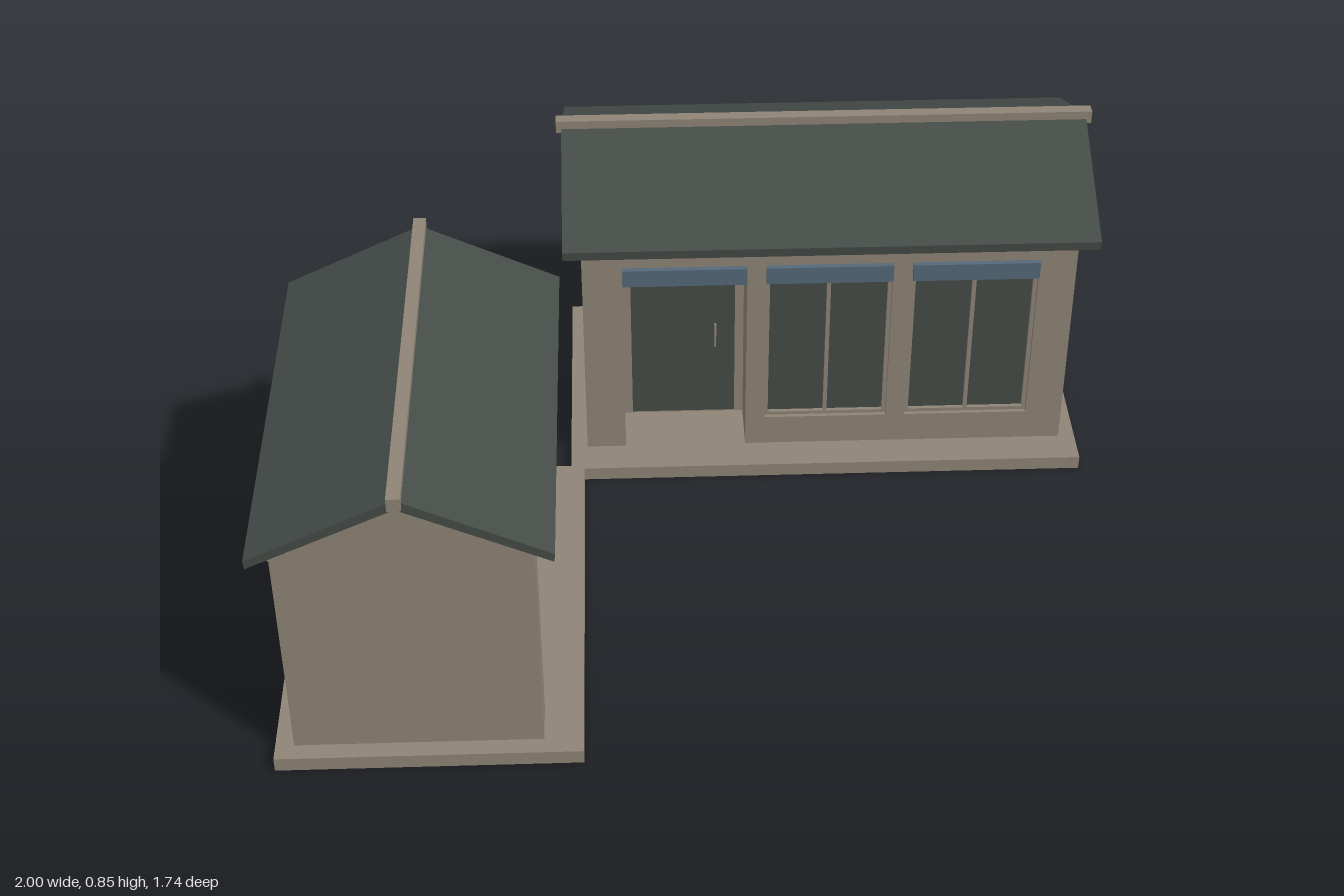
import * as THREE from 'three';

const material = (name, color, side = THREE.FrontSide) => {
  const m = new THREE.MeshStandardMaterial({ color, side });
  m.name = name;
  return m;
};

export function createModel() {
  const stone = material('warm grey stone', 0x8f8577);
  const slate = material('dark slate', 0x454c48);
  const blue = material('blue awning', 0x54697a);

  const add = (parent, name, geometry, mat) => {
    const mesh = new THREE.Mesh(geometry, mat);
    mesh.name = name;
    parent.add(mesh);
    return mesh;
  };
  // Box given by its low and high corners
  const box = (parent, name, mat, x0, x1, y0, y1, z0, z1) => {
    const mesh = add(parent, name, new THREE.BoxGeometry(x1 - x0, y1 - y0, z1 - z0), mat);
    mesh.position.set((x0 + x1) / 2, (y0 + y1) / 2, (z0 + z1) / 2);
    return mesh;
  };
  const polygon = (points) => new THREE.Shape(points.map(([x, y]) => new THREE.Vector2(x, y)));
  const rect = (x0, x1, y0, y1) => polygon([[x0, y0], [x1, y0], [x1, y1], [x0, y1]]);
  // Extrude a (z, y) cross-section along x, centred
  const alongX = (parent, name, mat, points, half) => {
    const g = new THREE.ExtrudeGeometry(polygon(points), { depth: 2 * half, bevelEnabled: false });
    g.translate(0, 0, -half).rotateY(-Math.PI / 2);
    return add(parent, name, g, mat);
  };

  const floor = 0.036, lintel = 0.597, recess = 0.14, beamLow = 0.55;

  // One gabled house, ridge along x, open front at +z
  function house(p) {
    const g = new THREE.Group();
    g.name = p.name;
    const { halfLength: hl, halfDepth: hd, wallTop, porch, door, windows } = p;

    box(g, 'foundationSlab', stone, -hl - 0.042, hl + 0.042, 0, floor, -hd - 0.043, hd + 0.09);
    box(g, 'rearWalls', stone, -hl, hl, floor, wallTop, -hd, hd - recess);

    // Front wall layer with porch notch and window openings
    const front = polygon([
      [-hl, floor], [porch[0], floor], [porch[0], lintel], [porch[1], lintel],
      [porch[1], floor], [hl, floor], [hl, wallTop], [-hl, wallTop],
    ]);
    windows.forEach(([a, b]) => front.holes.push(rect(a, b, 0.12, lintel - 0.005)));
    const wall = add(g, 'frontWall', new THREE.ExtrudeGeometry(front, { depth: recess, bevelEnabled: false }), stone);
    wall.position.z = hd - recess;

    // Door with handle at the back of the porch
    const doorZ = hd - recess;
    box(g, 'door', slate, door[0], door[1], 0.047, 0.58, doorZ, doorZ + 0.01);
    box(g, 'doorHandle', stone, door[1] - 0.053, door[1] - 0.048, 0.26, 0.33, doorZ + 0.01, doorZ + 0.02);

    // Windows: frame with two panes set into the wall
    windows.forEach(([a, b]) => {
      const mid = (a + b) / 2, t = 0.01, top = lintel - 0.005;
      const frame = rect(a, b, 0.12, top);
      frame.holes.push(rect(a + t, mid - t / 2, 0.12 + t, top - t), rect(mid + t / 2, b - t, 0.12 + t, top - t));
      const f = add(g, 'windowFrame', new THREE.ExtrudeGeometry(frame, { depth: 0.015, bevelEnabled: false }), stone);
      f.position.z = hd - 0.025;
      box(g, 'windowGlass', slate, a, b, 0.12, top, hd - 0.03, hd - 0.02);
    });

    // Blue boards above each opening
    [porch, ...windows].forEach(([a, b]) => box(g, 'awningBoard', blue, a, b, beamLow, lintel, hd - 0.004, hd + 0.014));

    // Gable and eave plates
    alongX(g, 'gable', stone, [[-hd, wallTop], [hd, wallTop], [0, p.gableTop]], hl);
    box(g, 'frontEavePlate', stone, -hl - 0.018, hl + 0.018, wallTop - 0.004, wallTop + 0.022, hd - 0.04, hd + 0.03);
    box(g, 'rearEavePlate', stone, -hl - 0.018, hl + 0.018, wallTop, wallTop + 0.022, -hd, -hd + 0.045);

    // Roof of two sloping slabs in one section
    const { roofHalf: rh, eave, ridge, thick } = p;
    alongX(g, 'roof', slate, [
      [-rh, eave], [0, ridge - thick], [rh, eave], [rh + 0.002, eave + thick * 0.85],
      [0, ridge], [-rh - 0.002, eave + thick * 0.85],
    ], hl + 0.044);
    box(g, 'ridgeCap', stone, -hl - 0.057, hl + 0.057, ridge - 0.018, p.capTop, -0.015, 0.015);
    return g;
  }

  const model = new THREE.Group();
  model.name = 'courtyardHouses';

  // Long house at the back with porch and two windows
  const main = house({
    name: 'mainHouse', halfLength: 0.615, halfDepth: 0.292, wallTop: 0.66, gableTop: 0.805,
    porch: [-0.515, -0.205], door: [-0.495, -0.228], windows: [[-0.157, 0.158], [0.207, 0.522]],
    roofHalf: 0.341, eave: 0.657, ridge: 0.838, thick: 0.028, capTop: 0.853,
  });
  main.position.set(0.32, 0, -0.527);

  // Side house turned to face the courtyard
  const side = house({
    name: 'sideHouse', halfLength: 0.465, halfDepth: 0.282, wallTop: 0.605, gableTop: 0.755,
    porch: [-0.365, 0.365], door: [-0.13, 0.13], windows: [],
    roofHalf: 0.326, eave: 0.608, ridge: 0.786, thick: 0.025, capTop: 0.8,
  });
  side.position.set(-0.675, 0, 0.35);
  side.rotation.y = Math.PI / 2;

  model.add(main, side);
  return model;
}
